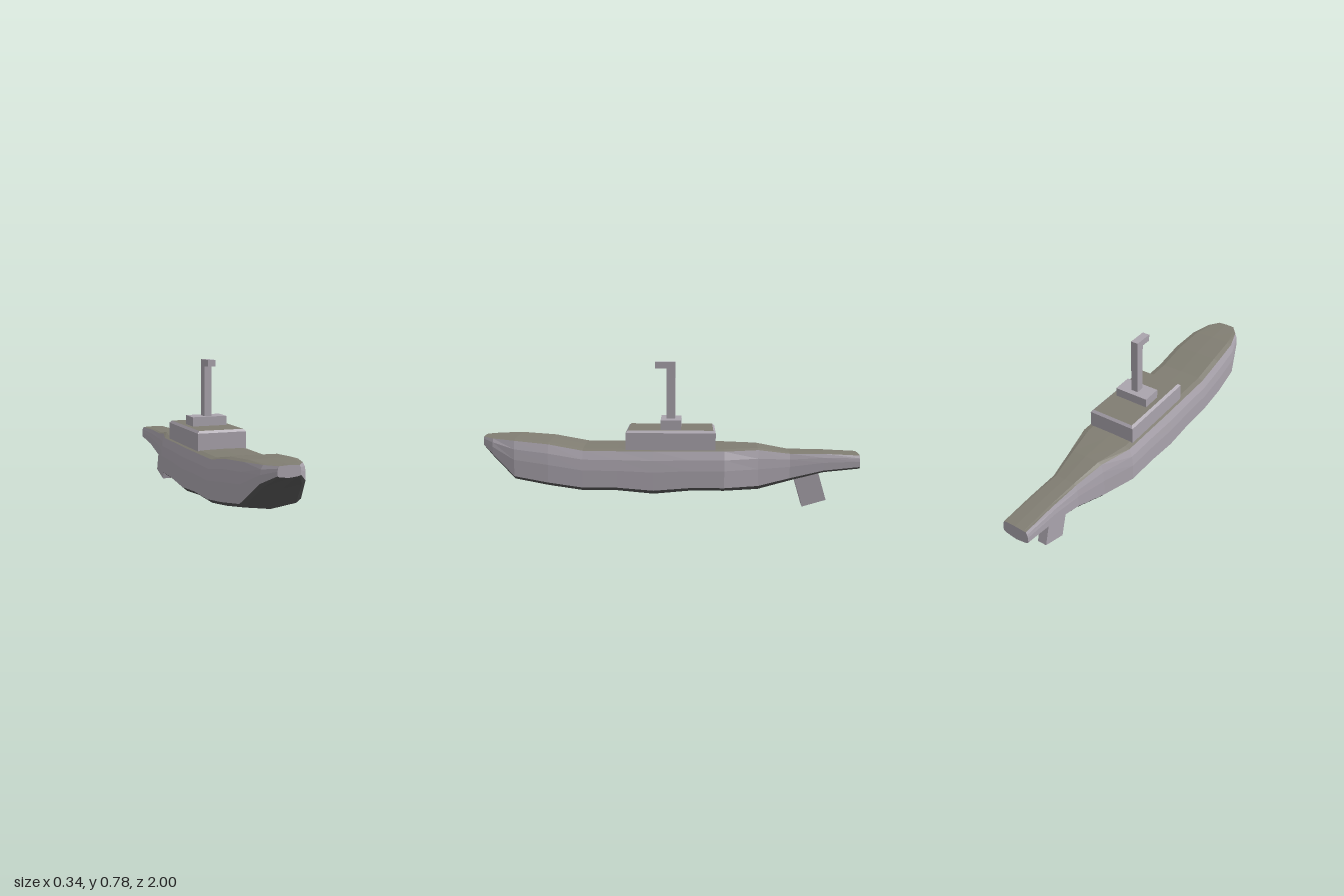
import * as THREE from 'three';

const paint = (color) => new THREE.MeshStandardMaterial({ color, flatShading: true });

// Hull stations, bow to stern: z, half width, deck y, chine y, keel y
const STATIONS = [
  [1, 0.055, 0.385, 0.34, 0.33],
  [0.94, 0.108, 0.385, 0.3, 0.272],
  [0.82, 0.15, 0.385, 0.19, 0.155],
  [0.64, 0.165, 0.37, 0.16, 0.122],
  [0.46, 0.167, 0.337, 0.135, 0.095],
  [0.28, 0.167, 0.335, 0.135, 0.095],
  [0.09, 0.168, 0.335, 0.12, 0.075],
  [-0.1, 0.167, 0.335, 0.135, 0.095],
  [-0.28, 0.166, 0.335, 0.135, 0.095],
  [-0.46, 0.112, 0.335, 0.135, 0.095],
  [-0.63, 0.078, 0.307, 0.17, 0.14],
  [-0.81, 0.076, 0.305, 0.212, 0.19],
  [-1, 0.075, 0.295, 0.232, 0.21],
];

// Closed cross-section: deck centre, down the left side, keel, up the right side
function section([z, w, deck, chine, keel]) {
  const h = deck - chine;
  const half = [
    [0, deck],
    [w * 0.7, deck - 0.002],
    [w * 0.87, deck - 0.05 * h],
    [w * 0.96, deck - 0.27 * h],
    [w, deck - 0.55 * h],
    [w, chine],
    [w * 0.84, keel + 0.5 * (chine - keel)],
    [0, keel],
  ];
  const mirrored = half.slice(1, -1).reverse().map(([x, y]) => [-x, y]);
  return [...half, ...mirrored].map(([x, y]) => new THREE.Vector3(x, y, z));
}

function facetMesh(name, triangles, material) {
  const geometry = new THREE.BufferGeometry().setFromPoints(triangles);
  geometry.computeVertexNormals();
  const mesh = new THREE.Mesh(geometry, material);
  mesh.name = name;
  return mesh;
}

function createHull(grey, olive, dark) {
  const rings = STATIONS.map(section);
  const n = rings[0].length;
  const deck = [], sides = [], bottom = [];
  for (let i = 0; i < rings.length - 1; i++) {
    for (let j = 0; j < n; j++) {
      const k = (j + 1) % n;
      const strip = Math.min(j, n - 1 - j); // same strip number on both sides
      const target = strip < 2 ? deck : strip < 5 ? sides : bottom;
      const [a, b, c, d] = [rings[i][j], rings[i][k], rings[i + 1][k], rings[i + 1][j]];
      target.push(a, b, c, a, c, d);
    }
  }
  // Flat bow and stern ends
  const bow = rings[0], stern = rings[rings.length - 1];
  for (let j = 1; j < n - 1; j++) {
    sides.push(bow[0], bow[j + 1], bow[j], stern[0], stern[j], stern[j + 1]);
  }
  const hull = new THREE.Group();
  hull.name = 'hull';
  hull.add(
    facetMesh('deck', deck, olive),
    facetMesh('hullSides', sides, grey),
    facetMesh('hullBottom', bottom, dark)
  );
  return hull;
}

// Box given by its extents on each axis
function block(name, [x0, x1], [y0, y1], [z0, z1], material) {
  const mesh = new THREE.Mesh(new THREE.BoxGeometry(x1 - x0, y1 - y0, z1 - z0), material);
  mesh.position.set((x0 + x1) / 2, (y0 + y1) / 2, (z0 + z1) / 2);
  mesh.name = name;
  return mesh;
}

// Tower block whose top edge is chamfered, with a coloured roof
function createTower(grey, olive) {
  const tower = new THREE.Group();
  tower.name = 'tower';
  const rim = new THREE.BoxGeometry(0.264, 0.012, 0.47);
  const p = rim.attributes.position;
  for (let i = 0; i < p.count; i++) {
    if (p.getY(i) > 0) {
      p.setX(i, Math.sign(p.getX(i)) * 0.12);
      p.setZ(i, Math.sign(p.getZ(i)) * 0.223);
    }
  }
  rim.computeVertexNormals();
  // Box face groups: the third one is the top
  const chamfer = new THREE.Mesh(rim, [grey, grey, olive, grey, grey, grey]);
  chamfer.name = 'towerRoof';
  chamfer.position.y = 0.425;
  tower.add(block('towerWalls', [-0.132, 0.132], [0.3, 0.419], [-0.235, 0.235], grey), chamfer);
  return tower;
}

// Bent mast as one extruded side profile
function createPeriscope(grey) {
  const outline = [
    [0.022, 0.47], [0.022, 0.78], [-0.085, 0.78],
    [-0.085, 0.745], [-0.025, 0.745], [-0.025, 0.47],
  ].map(([u, v]) => new THREE.Vector2(u, v));
  const geometry = new THREE.ExtrudeGeometry(new THREE.Shape(outline), { depth: 0.04, bevelEnabled: false });
  geometry.translate(0, 0, -0.02);
  geometry.rotateY(Math.PI / 2);
  const mast = new THREE.Mesh(geometry, grey);
  mast.name = 'periscope';
  return mast;
}

export function createModel() {
  const grey = paint(0xaaa4ad);
  const olive = paint(0x807d72);
  const dark = paint(0x555555);

  const model = new THREE.Group();
  model.name = 'submarine';
  model.add(createHull(grey, olive, dark));
  model.add(createTower(grey, olive));
  model.add(block('periscopeBase', [-0.095, 0.095], [0.42, 0.48], [-0.054, 0.054], grey));
  model.add(createPeriscope(grey));

  // Raked rudder below the stern
  const rudder = new THREE.Mesh(new THREE.BoxGeometry(0.052, 0.21, 0.132), grey);
  rudder.name = 'rudder';
  rudder.position.set(0, 0.121, -0.741);
  rudder.rotation.x = 0.29;
  model.add(rudder);

  return model;
}
